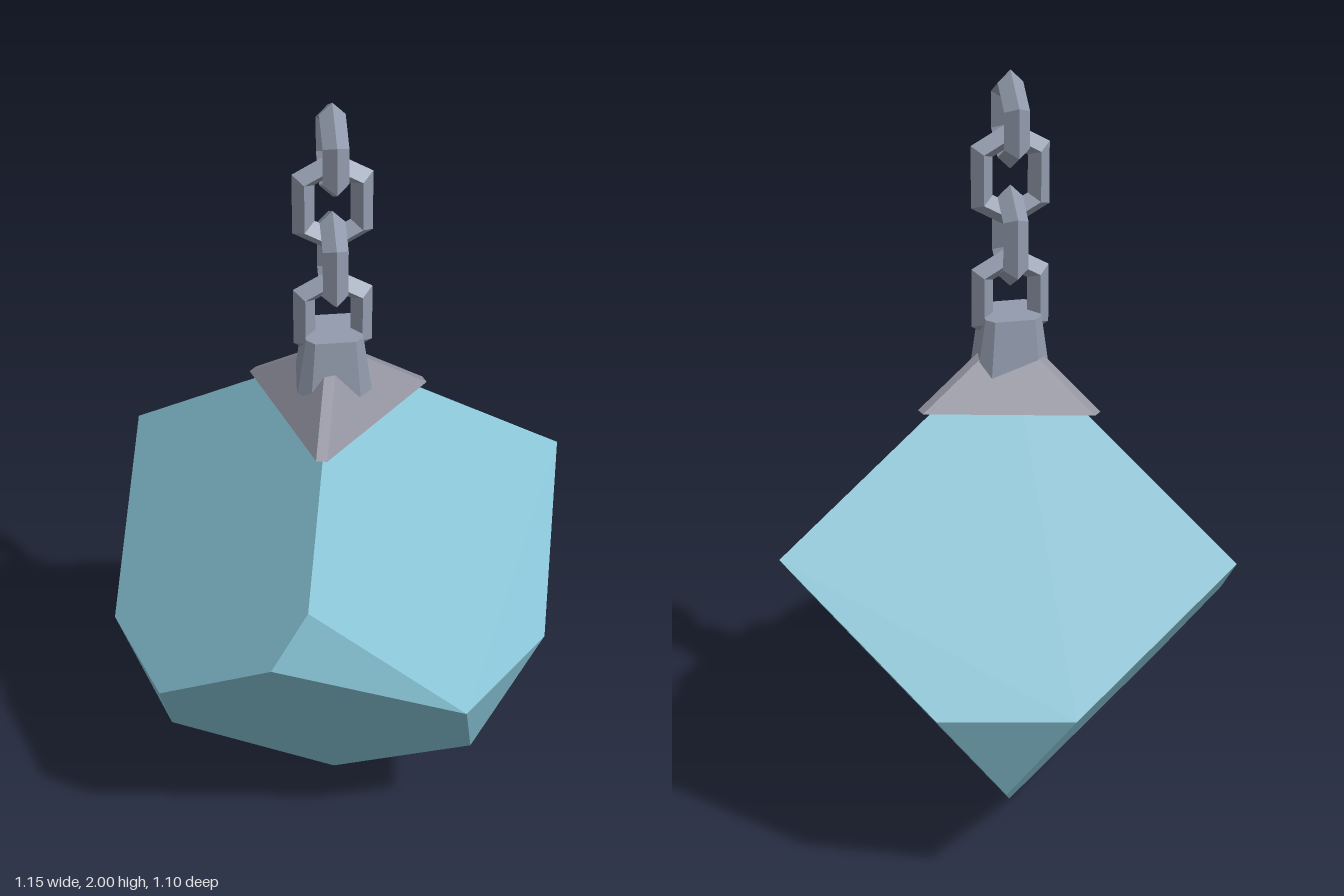
import * as THREE from 'three';
import { ConvexGeometry } from 'three/addons/geometries/ConvexGeometry.js';

const AXIS_X = -0.02; // the chain and the cube's diagonal share this vertical axis
const H = 0.444; // a third of the cube's standing diagonal
const R = 0.626; // distance of the side corners from the axis
const START = Math.atan2(-0.19, 0.595);

// Point at a distance from the axis, in the direction of the k-th sixth of a turn
function polar(k, radius, y, side = 0) {
  const a = START + (k * Math.PI) / 3;
  return new THREE.Vector3(
    AXIS_X + radius * Math.cos(a) - side * Math.sin(a),
    y,
    radius * Math.sin(a) + side * Math.cos(a)
  );
}

// Cube standing on one corner, with four corners cut off
function cutCube() {
  const bottom = polar(0, 0, 0);
  const top = polar(0, 0, 3 * H);
  // even corners are the upper ring, odd corners the lower ring
  const ring = [0, 1, 2, 3, 4, 5].map((k) => polar(k, R, k % 2 ? H : 2 * H));
  const points = [bottom, top, ring[0], ring[4]];
  const cut = (corner, ends) =>
    ends.forEach(([end, t]) => points.push(corner.clone().lerp(end, t)));
  cut(ring[1], [[ring[2], 0.32], [ring[0], 0.33], [bottom, 0.313]]);
  cut(ring[2], [[top, 0.16], [ring[3], 0.15]]);
  cut(ring[3], [[ring[2], 0.295], [ring[4], 0.295], [bottom, 0.28]]);
  cut(ring[5], [[ring[0], 0.3], [ring[4], 0.307], [bottom, 0.3]]);
  return new ConvexGeometry(points);
}

// Three-sided cap with a narrow flat along each ridge
function capPlate() {
  const points = [];
  for (const k of [0, 2, 4]) {
    for (const side of [-0.013, 0.013]) {
      points.push(polar(k, 0.244, 1.188, side), polar(k, 0.03, 1.34, side));
    }
  }
  return new ConvexGeometry(points);
}

// Tapered collar: a box with cut corners
function collarBody() {
  const points = [];
  for (const [y, x, z, c] of [[1.25, 0.089, 0.073, 0.03], [1.4, 0.068, 0.063, 0.02]]) {
    for (const sx of [-1, 1]) {
      for (const sz of [-1, 1]) {
        points.push(new THREE.Vector3(AXIS_X + sx * x, y, sz * (z - c)));
        points.push(new THREE.Vector3(AXIS_X + sx * (x - c), y, sz * z));
      }
    }
  }
  return new ConvexGeometry(points);
}

// Six-sided link with a diamond section, its halves pulled apart vertically
function linkGeometry(outer, stretch) {
  const tube = 0.03;
  const g = new THREE.TorusGeometry(outer - tube, tube, 4, 6);
  g.rotateZ(Math.PI / 6);
  const p = g.attributes.position;
  for (let i = 0; i < p.count; i++) p.setY(i, p.getY(i) + Math.sign(p.getY(i)) * stretch);
  const flat = g.toNonIndexed();
  flat.computeVertexNormals();
  return flat;
}

export function createModel() {
  const stone = new THREE.MeshStandardMaterial({ color: 0x87c3d5, flatShading: true });
  stone.name = 'pale teal';
  const steel = new THREE.MeshStandardMaterial({ color: 0x929bad, flatShading: true });
  steel.name = 'blue grey';
  const capGrey = new THREE.MeshStandardMaterial({ color: 0x90919e, flatShading: true });
  capGrey.name = 'cap grey';

  const model = new THREE.Group();
  model.name = 'hangingBlock';
  const add = (parent, name, geometry, material) => {
    const mesh = new THREE.Mesh(geometry, material);
    mesh.name = name;
    parent.add(mesh);
    return mesh;
  };

  add(model, 'block', cutCube(), stone);
  add(model, 'cap', capPlate(), capGrey);
  add(model, 'collar', collarBody(), steel);

  // Chain: links turn a quarter each time, the lowest sits in the collar
  const chain = new THREE.Group();
  chain.name = 'chain';
  model.add(chain);
  const links = [
    [1.88, 0.12, 0],
    [1.745, 0.108, 0.023],
    [1.593, 0.108, 0.02],
    [1.44, 0.108, 0.02],
  ];
  links.forEach(([y, outer, stretch], i) => {
    const link = add(chain, `link${i + 1}`, linkGeometry(outer, stretch), steel);
    link.position.set(AXIS_X, y, 0);
    link.rotation.y = i % 2 ? 0 : Math.PI / 2;
  });

  return model;
}
